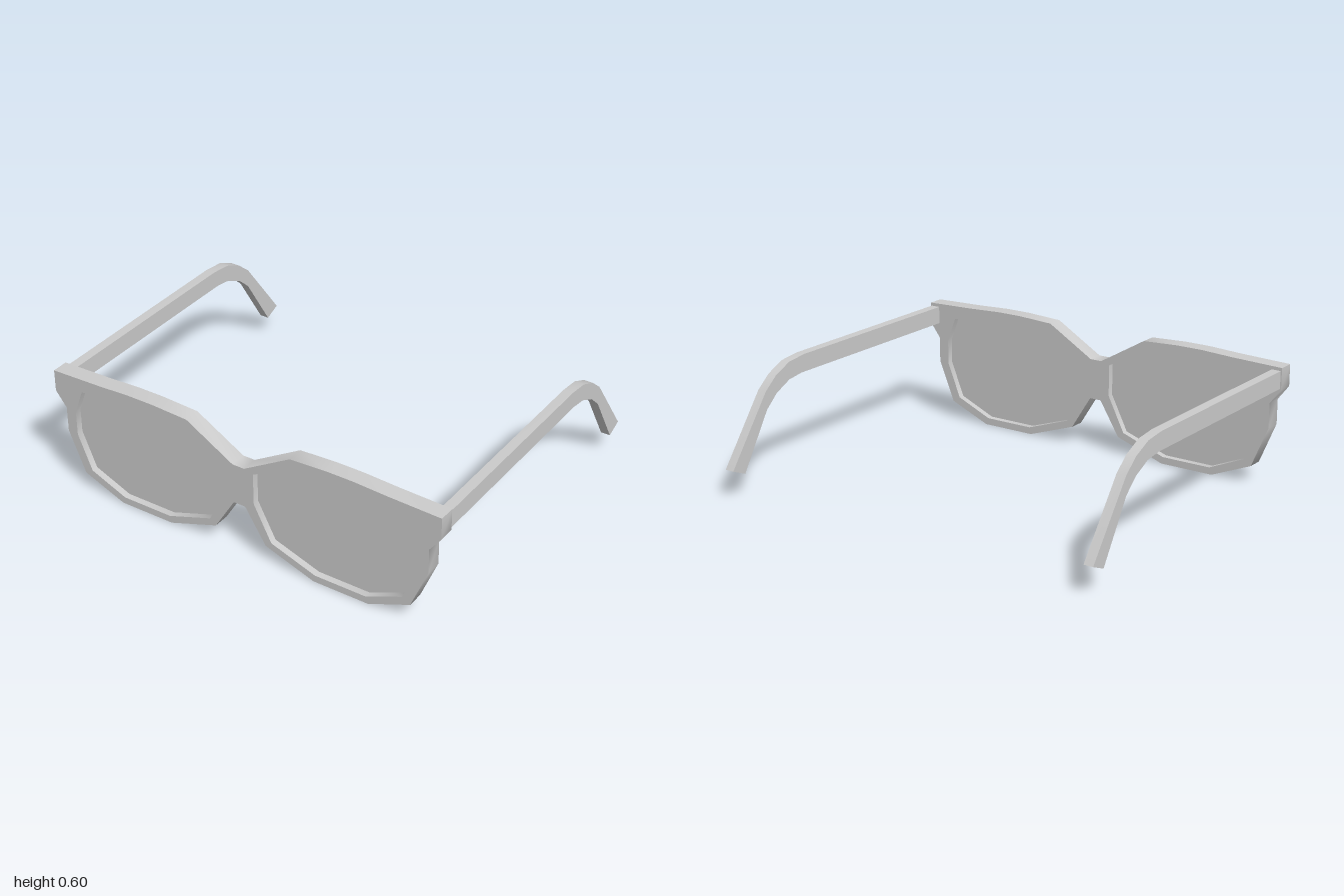
import * as THREE from 'three';
import { toCreasedNormals } from 'three/addons/utils/BufferGeometryUtils.js';

const material = new THREE.MeshStandardMaterial({ color: 0xcccccc });
const points = (list) => list.map(([x, y]) => new THREE.Vector2(x, y));
const mirror = (list) => list.map(([x, y]) => [-x, y]).reverse();

// Left half of the frame outline, counterclockwise from bridge bottom to bridge top
const rim = [
  [0.03, 0.253], [0.133, 0.086], [0.38, 0], [0.655, 0], [0.862, 0.086], [0.945, 0.287],
  [0.945, 0.408], [1, 0.48], [1, 0.585], [0.75, 0.592], [0.58, 0.6], [0.45, 0.6],
  [0.267, 0.591], [0.03, 0.451],
];

// Lens opening
const opening = [
  [0.076, 0.438], [0.28, 0.549], [0.446, 0.557], [0.61, 0.55], [0.848, 0.523], [0.893, 0.401],
  [0.893, 0.284], [0.823, 0.112], [0.642, 0.034], [0.388, 0.034], [0.163, 0.112], [0.076, 0.284],
];

// Side profile of an arm as (z, y)
const armProfile = [
  [0.739, 0.57], [-0.305, 0.57], [-0.41, 0.558], [-0.503, 0.516], [-0.576, 0.456], [-0.814, 0.136],
  [-0.736, 0.103], [-0.573, 0.367], [-0.503, 0.43], [-0.413, 0.473], [-0.328, 0.485], [0.739, 0.485],
];

function slab(name, shape, depth) {
  const geometry = new THREE.ExtrudeGeometry(shape, { depth, bevelEnabled: false });
  const mesh = new THREE.Mesh(toCreasedNormals(geometry, 0.87), material);
  mesh.name = name;
  return mesh;
}

export function createModel() {
  const group = new THREE.Group();
  group.name = 'glasses';

  // Front frame with two openings
  const frameShape = new THREE.Shape(points([...rim, ...mirror(rim)]));
  frameShape.holes.push(new THREE.Path(points(opening)), new THREE.Path(points(mirror(opening))));
  const frame = slab('frame', frameShape, 0.079);
  frame.position.z = 0.735;
  group.add(frame);

  for (const side of [1, -1]) {
    const label = side > 0 ? 'left' : 'right';

    // Thin lens recessed in its opening
    const lens = slab(label + 'Lens', new THREE.Shape(points(side > 0 ? opening : mirror(opening))), 0.016);
    lens.position.z = 0.766;
    group.add(lens);

    // Arm, bent down behind the ear
    const arm = slab(label + 'Arm', new THREE.Shape(points(armProfile)), 0.046);
    arm.geometry.rotateY(-Math.PI / 2).translate(0.023, 0, 0);
    arm.position.x = side * 0.971;
    group.add(arm);
  }
  return group;
}
